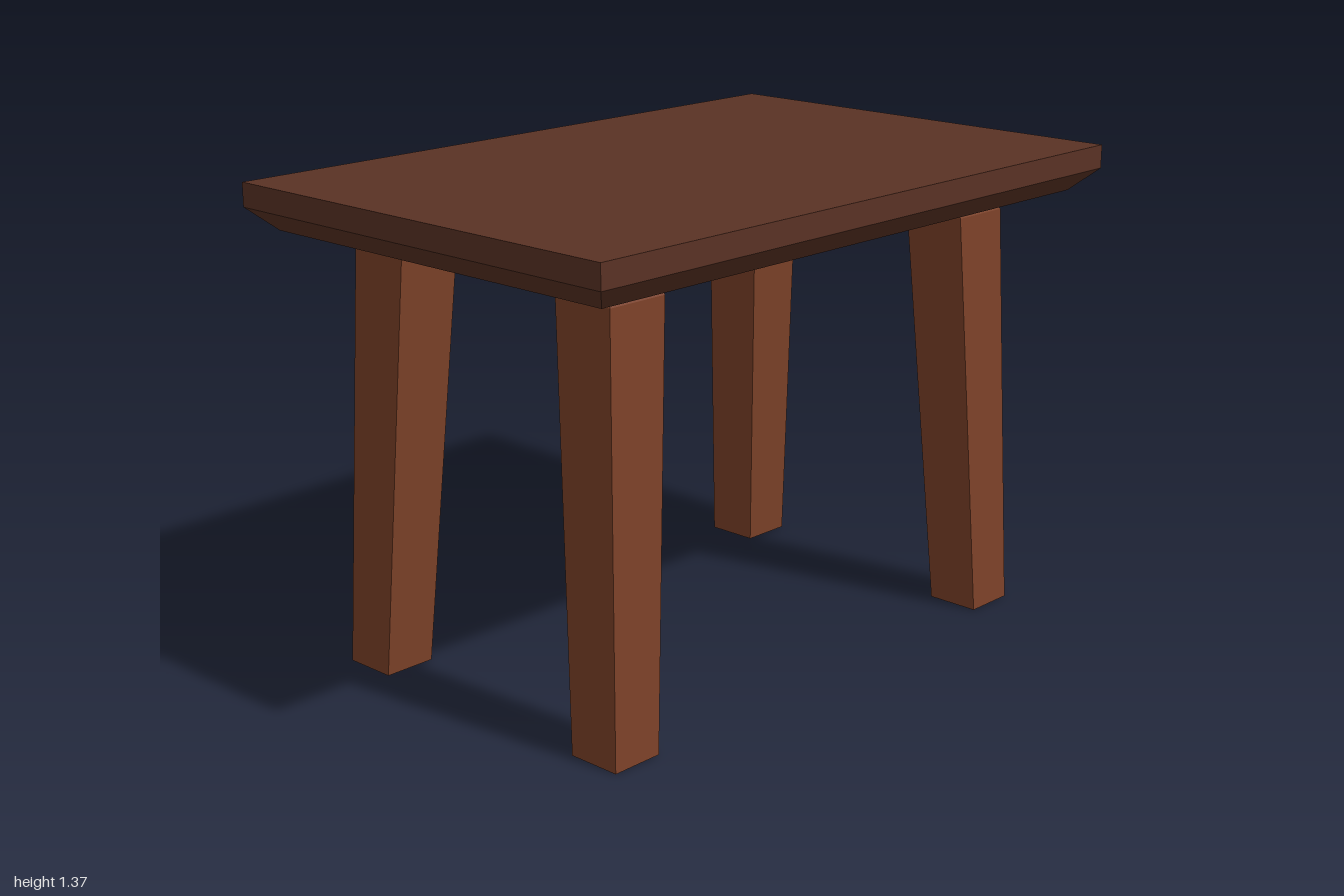
import * as THREE from 'three';

// Lofts rectangular sections [y, x0, x1, z0, z1], listed bottom to top.
function loft(sections, capBottom) {
  const pos = [];
  const rings = sections.map(([y, x0, x1, z0, z1]) =>
    [[x0, y, z1], [x1, y, z1], [x1, y, z0], [x0, y, z0]]);
  const quad = (a, b, c, d) => pos.push(...a, ...b, ...c, ...a, ...c, ...d);
  for (let i = 0; i < rings.length - 1; i++) {
    for (let k = 0; k < 4; k++) {
      const n = (k + 1) % 4;
      quad(rings[i][k], rings[i][n], rings[i + 1][n], rings[i + 1][k]);
    }
  }
  quad(...rings[rings.length - 1]);
  if (capBottom) quad(...[...rings[0]].reverse());
  const geo = new THREE.BufferGeometry();
  geo.setAttribute('position', new THREE.Float32BufferAttribute(pos, 3));
  geo.computeVertexNormals();
  return geo;
}

export function createModel() {
  const group = new THREE.Group();
  const topWood = new THREE.MeshStandardMaterial({ color: 0x5a3224, flatShading: true });
  const legWood = new THREE.MeshStandardMaterial({ color: 0x7c4128, flatShading: true, side: THREE.DoubleSide });

  // Table top: slab with a chamfered underside
  const top = new THREE.Mesh(loft([
    [1.235, -0.935, 0.935, -0.603, 0.603],
    [1.298, -1, 1, -0.668, 0.668],
    [1.365, -1, 1, -0.668, 0.668],
  ], true), topWood);
  top.name = 'tableTop';
  group.add(top);

  // Splayed legs: open at the foot, narrowing at the shoulder
  for (const [sx, zName, sz] of [[1, 'Front', 1], [-1, 'Front', 1], [1, 'Back', -1], [-1, 'Back', -1]]) {
    const section = (y, xIn, xOut, zIn, zOut) => [
      y,
      Math.min(sx * xIn, sx * xOut), Math.max(sx * xIn, sx * xOut),
      Math.min(sz * zIn, sz * zOut), Math.max(sz * zIn, sz * zOut),
    ];
    const leg = new THREE.Mesh(loft([
      section(0, 0.67, 0.825, 0.365, 0.522),
      section(1.185, 0.596, 0.785, 0.289, 0.478),
      section(1.245, 0.608, 0.752, 0.3, 0.45),
    ], false), legWood);
    leg.name = `leg${zName}${sx > 0 ? 'Left' : 'Right'}`;
    group.add(leg);
  }
  return group;
}
